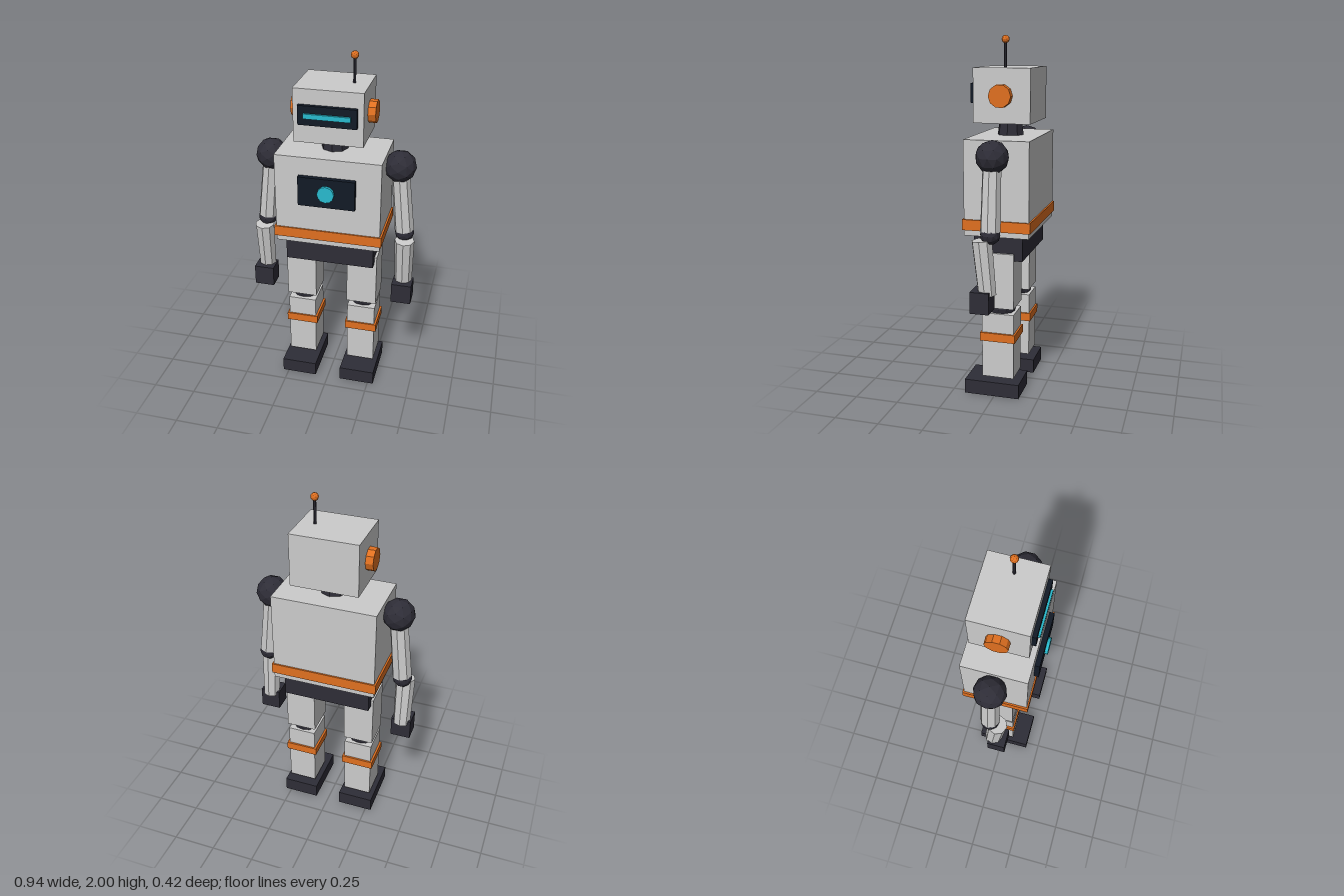
import * as THREE from 'three';

const mat = (color) => new THREE.MeshStandardMaterial({ color, flatShading: true });
const shell = mat(0xcccccc), dark = mat(0x2e2d37), panel = mat(0x121a26);
const orange = mat(0xe07020), cyan = mat(0x28bace);
const MID = -0.02; // depth of the body's centre line

export function createModel() {
  const robot = new THREE.Group();
  robot.name = 'robot';

  const add = (parent, name, geometry, material, x, y, z) => {
    const mesh = new THREE.Mesh(geometry, material);
    mesh.name = name;
    mesh.position.set(x, y, z);
    parent.add(mesh);
    return mesh;
  };
  // Box given by its centre in x, and its ranges in y and z
  const box = (parent, name, material, x, w, y0, y1, z0, z1) =>
    add(parent, name, new THREE.BoxGeometry(w, y1 - y0, z1 - z0), material, x, (y0 + y1) / 2, (z0 + z1) / 2);
  const ball = (parent, name, material, r, x, y, z) =>
    add(parent, name, new THREE.IcosahedronGeometry(r, 1), material, x, y, z);
  // Tapered rod from a (top) to b (bottom)
  const rod = (parent, name, material, a, b, rTop, rBottom, sides) => {
    const from = new THREE.Vector3(...a), to = new THREE.Vector3(...b);
    const axis = from.clone().sub(to);
    const mid = from.clone().add(to).multiplyScalar(0.5);
    const mesh = add(parent, name, new THREE.CylinderGeometry(rTop, rBottom, axis.length(), sides), material, mid.x, mid.y, mid.z);
    mesh.quaternion.setFromUnitVectors(new THREE.Vector3(0, 1, 0), axis.normalize());
    return mesh;
  };

  // Torso
  box(robot, 'chest', shell, 0, 0.59, 0.937, 1.46, -0.2, 0.162);
  box(robot, 'belt', orange, 0, 0.61, 0.968, 1.027, -0.209, 0.17);
  box(robot, 'pelvis', dark, 0, 0.506, 0.798, 0.94, -0.155, 0.12);
  box(robot, 'chestPanel', panel, 0, 0.316, 1.187, 1.356, 0.15, 0.19);
  const core = add(robot, 'chestLight', new THREE.CylinderGeometry(0.047, 0.047, 0.04, 12), cyan, 0, 1.272, 0.187);
  core.rotation.x = Math.PI / 2;

  // Head
  rod(robot, 'neck', dark, [0, 1.55, MID], [0, 1.45, MID], 0.063, 0.076, 8);
  box(robot, 'head', shell, 0, 0.378, 1.537, 1.831, -0.178, 0.138);
  box(robot, 'visor', panel, 0, 0.316, 1.642, 1.748, 0.125, 0.161);
  box(robot, 'visorLight', cyan, 0, 0.252, 1.681, 1.708, 0.15, 0.173);
  rod(robot, 'antenna', dark, [0.104, 1.98, MID], [0.104, 1.82, MID], 0.008, 0.008, 6);
  ball(robot, 'antennaTip', orange, 0.022, 0.104, 1.978, MID);

  for (const s of [1, -1]) {
    const side = s > 0 ? 'left' : 'right';

    const ear = add(robot, side + 'Ear', new THREE.CylinderGeometry(0.0625, 0.0625, 0.05, 10), orange, s * 0.206, 1.685, MID);
    ear.rotation.z = Math.PI / 2;

    // Arm
    const arm = new THREE.Group();
    arm.name = side + 'Arm';
    robot.add(arm);
    ball(arm, 'shoulder', dark, 0.09, s * 0.364, 1.383, MID);
    rod(arm, 'upperArm', shell, [s * 0.363, 1.39, MID], [s * 0.402, 0.995, MID], 0.05, 0.056, 8);
    ball(arm, 'elbow', dark, 0.055, s * 0.405, 0.98, MID);
    rod(arm, 'forearm', shell, [s * 0.413, 0.95, 0.024], [s * 0.413, 0.65, -0.005], 0.056, 0.05, 8);
    box(arm, 'hand', dark, s * 0.414, 0.115, 0.557, 0.676, -0.028, 0.076);

    // Leg
    const leg = new THREE.Group();
    leg.name = side + 'Leg';
    robot.add(leg);
    const x = s * 0.18;
    box(leg, 'thigh', shell, x, 0.174, 0.522, 0.838, -0.109, 0.073);
    ball(leg, 'knee', dark, 0.081, x, 0.512, MID);
    box(leg, 'shin', shell, x, 0.164, 0.109, 0.488, -0.108, 0.074);
    box(leg, 'shinBand', orange, x, 0.188, 0.326, 0.374, -0.118, 0.083);
    box(leg, 'foot', dark, x, 0.207, 0, 0.083, -0.143, 0.173);
  }
  return robot;
}
